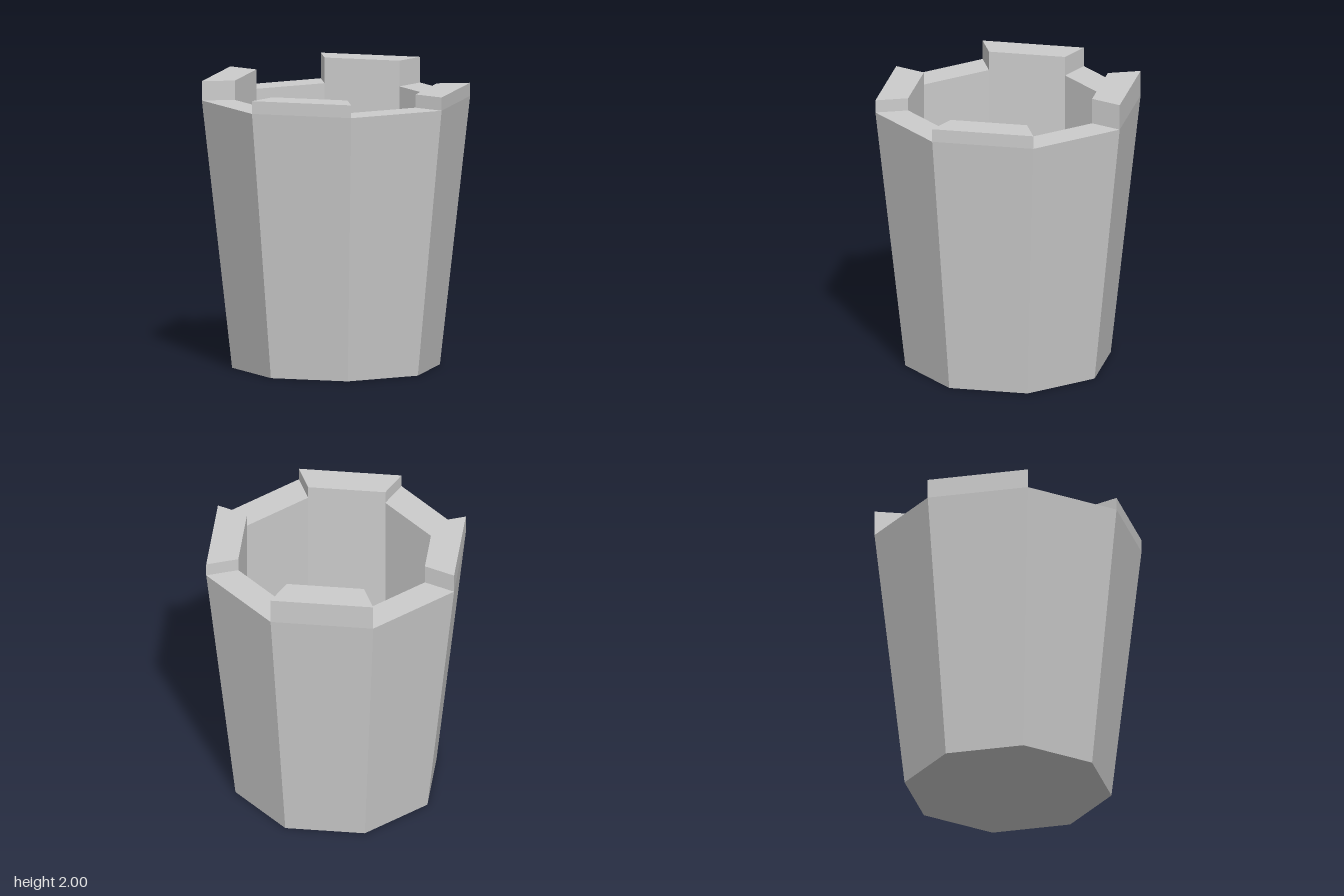
import * as THREE from 'three';

const SIDES = 8, BASE_R = 0.705, TOP_R = 0.91, INNER_R = 0.685;
const RIM_Y = 1.825, FLOOR_Y = 0.12;

export function createModel() {
  const model = new THREE.Group();
  model.name = 'towerTop';
  const stone = new THREE.MeshStandardMaterial({ color: 0xcccccc, flatShading: true });

  // Hollow, flared octagonal wall with a closed floor
  const profile = [
    [0, 0], [BASE_R, 0], [TOP_R, RIM_Y], [INNER_R, RIM_Y], [INNER_R, FLOOR_Y], [0, FLOOR_Y],
  ].map(([r, y]) => new THREE.Vector2(r, y));
  const wall = new THREE.Mesh(new THREE.LatheGeometry(profile, SIDES), stone);
  wall.name = 'wall';
  model.add(wall);

  // Battlements on every other side, each with its own height;
  // angles run from +z towards +x
  const corner = (r, i) => {
    const a = (i / SIDES) * Math.PI * 2;
    return new THREE.Vector2(r * Math.sin(a), -r * Math.cos(a));
  };
  const battlements = new THREE.Group();
  battlements.name = 'battlements';
  [1.912, 1.915, 2.0, 1.957].forEach((top, k) => {
    const i = k * 2;
    const outline = new THREE.Shape([
      corner(TOP_R, i), corner(TOP_R, i + 1), corner(INNER_R, i + 1), corner(INNER_R, i),
    ]);
    const geometry = new THREE.ExtrudeGeometry(outline, { depth: top - RIM_Y, bevelEnabled: false });
    geometry.rotateX(-Math.PI / 2).translate(0, RIM_Y, 0);
    const block = new THREE.Mesh(geometry, stone);
    block.name = `battlement${k + 1}`;
    battlements.add(block);
  });
  model.add(battlements);

  return model;
}
